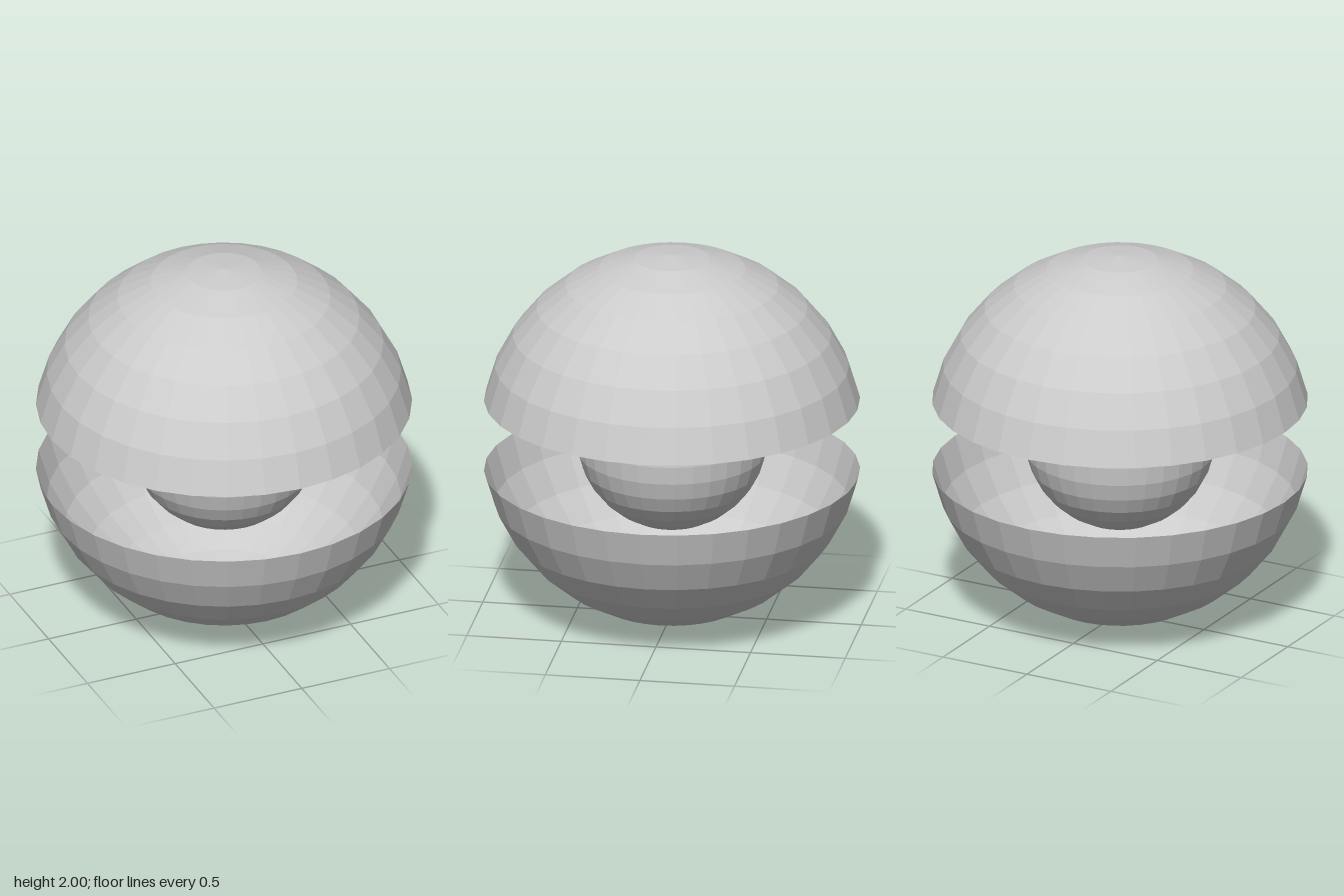
import * as THREE from 'three';

const SIDES = 32;
const BAND = Math.PI / 16; // angle covered by one ring of facets

export function createModel() {
  const group = new THREE.Group();
  const material = new THREE.MeshStandardMaterial({ color: 0xcccccc, flatShading: true });
  const shellMaterial = material.clone();
  shellMaterial.side = THREE.DoubleSide;

  function addSphere(name, radius, bands, firstBand, mat) {
    const geometry = new THREE.SphereGeometry(
      radius, SIDES, bands, 0, Math.PI * 2, firstBand * BAND, bands * BAND);
    const mesh = new THREE.Mesh(geometry, mat);
    mesh.name = name;
    mesh.position.y = 1;
    group.add(mesh);
  }

  // Two thin open caps with a gap of two bands at the equator
  addSphere('upperShell', 1, 7, 0, shellMaterial);
  addSphere('lowerShell', 1, 7, 9, shellMaterial);

  // Full ball floating in the middle
  addSphere('core', 0.5, 16, 0, material);

  return group;
}
